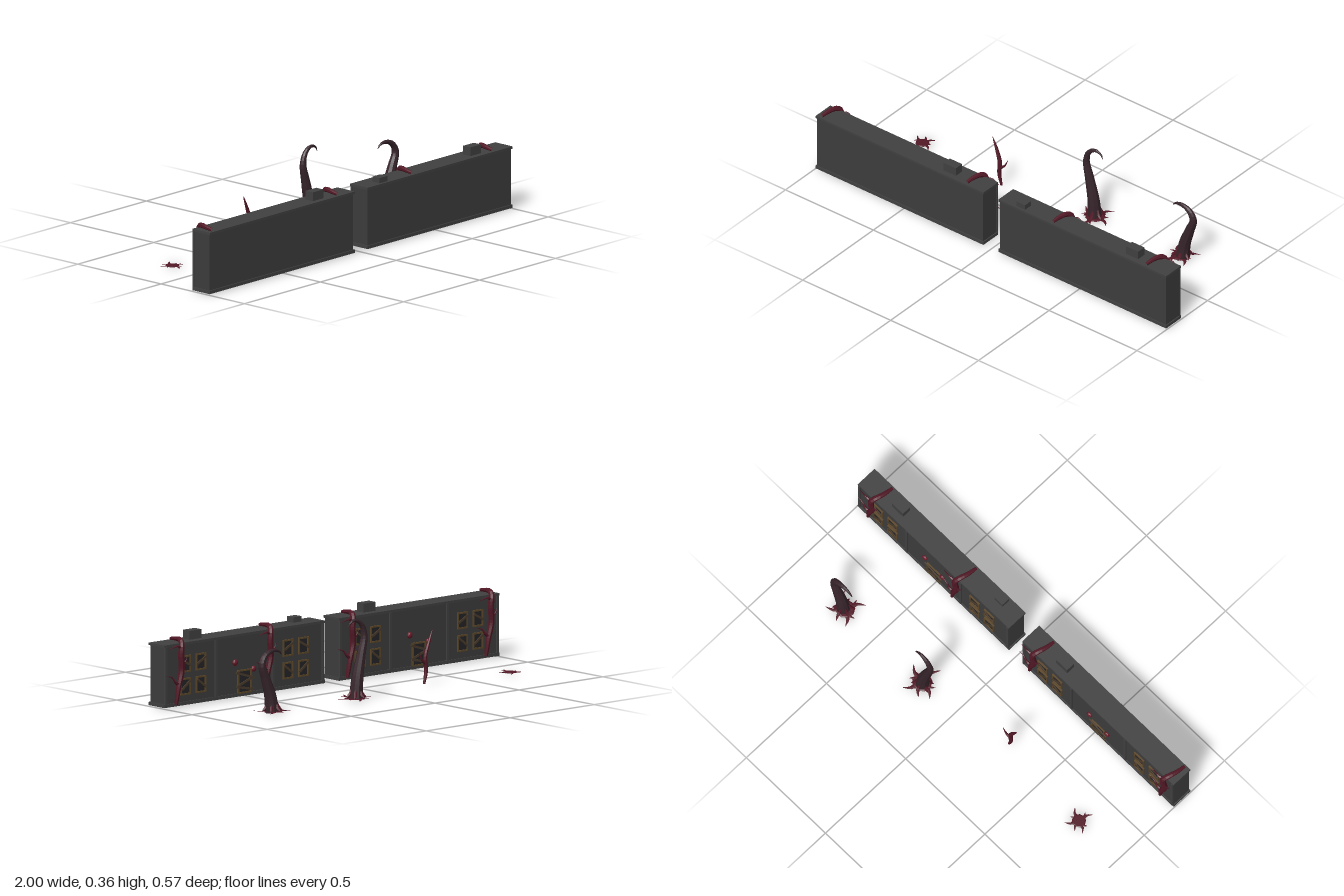
import * as THREE from 'three';

const mat = (name, color) => {
  const m = new THREE.MeshStandardMaterial({ color, flatShading: true });
  m.name = name;
  return m;
};

export function createModel() {
  const M = {
    wall: mat('charcoal wall', 0x3c3c3c),
    trim: mat('grey trim', 0x404040),
    pane: mat('dark pane', 0x242426),
    wood: mat('old wood', 0x5c4628),
    plank: mat('weathered plank', 0x483a2a),
    vine: mat('maroon vine', 0x521826),
    flesh: mat('dark tentacle', 0x36242a),
    pod: mat('red pod', 0x6a1a2a),
  };
  const model = new THREE.Group();
  model.name = 'infestedBuildings';

  const add = (parent, name, geo, material, x = 0, y = 0, z = 0) => {
    const mesh = new THREE.Mesh(geo, material);
    mesh.name = name;
    mesh.position.set(x, y, z);
    parent.add(mesh);
    return mesh;
  };
  const box = (parent, name, material, w, h, d, x, y, z) =>
    add(parent, name, new THREE.BoxGeometry(w, h, d), material, x, y, z);
  const group = (parent, name, x = 0, y = 0, z = 0) => {
    const g = new THREE.Group();
    g.name = name;
    g.position.set(x, y, z);
    parent.add(g);
    return g;
  };

  // Tube along a smooth path whose radius follows a rule
  const taper = (points, radiusAt, segments = 16, sides = 7) => {
    const curve = new THREE.CatmullRomCurve3(points.map((p) => new THREE.Vector3(...p)));
    const geo = new THREE.TubeGeometry(curve, segments, 1, sides, false);
    const pos = geo.attributes.position;
    const v = new THREE.Vector3();
    for (let i = 0; i <= segments; i++) {
      const centre = curve.getPointAt(i / segments);
      const r = radiusAt(i / segments);
      for (let j = 0; j <= sides; j++) {
        const k = i * (sides + 1) + j;
        v.fromBufferAttribute(pos, k).sub(centre).multiplyScalar(r).add(centre);
        pos.setXYZ(k, v.x, v.y, v.z);
      }
    }
    geo.computeVertexNormals();
    return geo;
  };

  // Window or door: dark pane, wooden frame and slanted planks, facing -z
  const opening = (parent, name, x, y, w, h, planks) => {
    const g = group(parent, name, x, y, 0.19);
    box(g, 'pane', M.pane, w, h, 0.004, 0, 0, 0);
    for (const s of [-1, 1]) {
      box(g, 'frameSide', M.wood, 0.007, h, 0.01, s * w / 2, 0, -0.002);
      box(g, 'frameRail', M.wood, w + 0.007, 0.007, 0.01, 0, s * h / 2, -0.002);
    }
    for (const [py, angle, length] of planks) {
      box(g, 'plank', M.plank, length, 0.01, 0.005, 0, py, -0.008).rotation.z = angle;
    }
  };

  // Vine climbing the facade and folding over the roof
  const vine = (parent, x) => {
    const g = group(parent, 'climbingVine', x);
    add(g, 'vineStem', taper([
      [-0.015, 0.288, 0.28], [-0.01, 0.293, 0.235], [0, 0.293, 0.2], [0.01, 0.278, 0.179],
      [0.016, 0.235, 0.176], [0.01, 0.16, 0.18], [0.028, 0.09, 0.179], [0.04, 0.008, 0.183],
    ], (t) => 0.003 + 0.0115 * Math.pow(Math.sin(Math.PI * (0.06 + 0.86 * t)), 0.6), 28), M.vine);
    add(g, 'vineBranch', taper([
      [0.022, 0.095, 0.18], [0.05, 0.11, 0.176], [0.07, 0.135, 0.178], [0.1, 0.142, 0.18],
    ], (t) => 0.008 * (1 - t) + 0.0008, 10, 5), M.vine);
    add(g, 'vineBranch', taper([
      [0.014, 0.18, 0.18], [-0.01, 0.195, 0.178], [-0.025, 0.215, 0.182],
    ], (t) => 0.006 * (1 - t) + 0.0008, 8, 5), M.vine);
    add(g, 'topTendril', taper([
      [0.012, 0.26, 0.178], [0.04, 0.272, 0.172], [0.085, 0.262, 0.178],
    ], (t) => 0.007 * (1 - t) + 0.0008, 8, 5), M.vine);
  };

  // Buildings
  const building = (cx, vines, roofBoxes) => {
    const b = group(model, 'building', cx);
    box(b, 'wallBlock', M.wall, 0.945, 0.28, 0.095, 0, 0.14, 0.2375);
    box(b, 'plinth', M.trim, 0.955, 0.015, 0.105, 0, 0.0075, 0.2375);
    box(b, 'cornice', M.trim, 0.955, 0.011, 0.105, 0, 0.2765, 0.2375);
    for (const x of [-0.468, -0.17, 0.17, 0.468]) {
      box(b, 'pilaster', M.trim, 0.012, 0.258, 0.01, x, 0.142, 0.188);
    }
    for (const side of [-1, 1]) {
      for (const col of [-1, 1]) {
        for (const row of [0, 1]) {
          const tilt = (col * side > 0 ? 1 : -1) * (row ? 0.5 : -0.65);
          opening(b, 'boardedWindow', side * 0.305 + col * 0.046, row ? 0.185 : 0.083,
            0.054, 0.068, [[0.006, tilt, 0.064]]);
        }
      }
    }
    opening(b, 'boardedDoor', 0, 0.065, 0.075, 0.1,
      [[0.028, 0.3, 0.11], [-0.002, -0.35, 0.1], [-0.03, 0.2, 0.1]]);
    for (const [x, y, r] of [[0.055, 0.155, 0.015], [-0.055, 0.115, 0.014]]) {
      add(b, 'fleshPod', new THREE.IcosahedronGeometry(r, 1), M.pod, x, y, 0.187).scale.z = 0.7;
    }
    for (const [x, z, w, h, d] of roofBoxes) {
      box(b, 'roofUnit', M.trim, w, h, d, x - cx, 0.28 + h / 2, z);
    }
    for (const x of vines) vine(b, x - cx);
  };
  building(-0.52, [-0.955, -0.13], [[-0.255, 0.242, 0.07, 0.042, 0.044]]);
  building(0.52, [0.36, 0.89], [
    [0.782, 0.242, 0.07, 0.042, 0.044], [0.16, 0.257, 0.05, 0.026, 0.042],
  ]);

  // Flat star of roots spreading over the ground
  const roots = (x, z, size, turn) => {
    const g = group(model, 'groundRoots', x, 0.0015, z);
    g.scale.y = 0.15;
    add(g, 'rootCore', new THREE.CylinderGeometry(size * 0.42, size * 0.5, 0.02, 9), M.vine, 0, 0.005, 0);
    const reach = [1, 0.75, 1.05, 0.7, 0.95, 0.8, 1, 0.65];
    reach.forEach((k, i) => {
      const a = turn + i * Math.PI / 4 + 0.15 * Math.sin(i * 2.3);
      const bend = i % 2 ? 0.22 : -0.22;
      const at = (r, da) => [r * size * k * Math.cos(a + da), 0.004, r * size * k * Math.sin(a + da)];
      add(g, 'root', taper([at(0.2, 0), at(0.6, bend), at(1, 0)],
        (t) => size * 0.16 * (1 - t) + 0.0008, 6, 5), M.vine);
    });
  };
  roots(0.205, -0.195, 0.092, 0.35);
  roots(0.69, -0.195, 0.088, 0.75);
  roots(-0.75, -0.16, 0.064, 0.5);

  // Hooked tentacles rising from the roots
  const tentacle = (x, height, dir, spread) => {
    const path = [[0, 0], [-0.008, 0.25], [-0.03, 0.55], [-0.046, 0.78], [-0.03, 0.92],
      [0.005, 0.98], [0.032, 0.955], [0.043, 0.9]]
      .map(([px, py]) => [dir * px * spread, py * height, 0]);
    const g = group(model, 'hookedTentacle', x, 0, -0.198);
    add(g, 'tentacleStem', taper(path,
      (t) => 0.031 * Math.pow(1 - t, 0.75) + 0.001, 26, 9), M.flesh);
    // Maroon skirt where the stem leaves the ground
    for (let i = 0; i < 6; i++) {
      const a = i * Math.PI / 3 + 0.3;
      const c = Math.cos(a), s = Math.sin(a);
      add(g, 'baseRoot', taper([[0.024 * c, 0.045, 0.024 * s], [0.03 * c, 0.02, 0.03 * s],
        [0.05 * c, 0.003, 0.05 * s]], (t) => 0.001 + 0.007 * Math.sin(Math.PI * t), 6, 5), M.vine);
    }
  };
  tentacle(0.2, 0.36, 1, 1.05);
  tentacle(0.7, 0.28, -1, 1.3);

  // Slender forked sprout
  const sprout = group(model, 'forkedSprout', -0.28, 0, -0.124);
  add(sprout, 'sproutStem', taper([[0.008, 0, 0], [-0.004, 0.06, 0], [0, 0.12, 0.001], [-0.018, 0.18, 0], [-0.042, 0.24, 0]],
    (t) => 0.0008 + 0.0095 * Math.pow(Math.sin(Math.PI * Math.min(1, 0.12 + 0.88 * t)), 0.8), 18), M.vine);
  add(sprout, 'sproutBranch', taper([[0, 0.09, 0], [0.024, 0.11, -0.003], [0.042, 0.145, -0.003]],
    (t) => 0.007 * (1 - t) + 0.0008, 8, 5), M.vine);

  return model;
}
